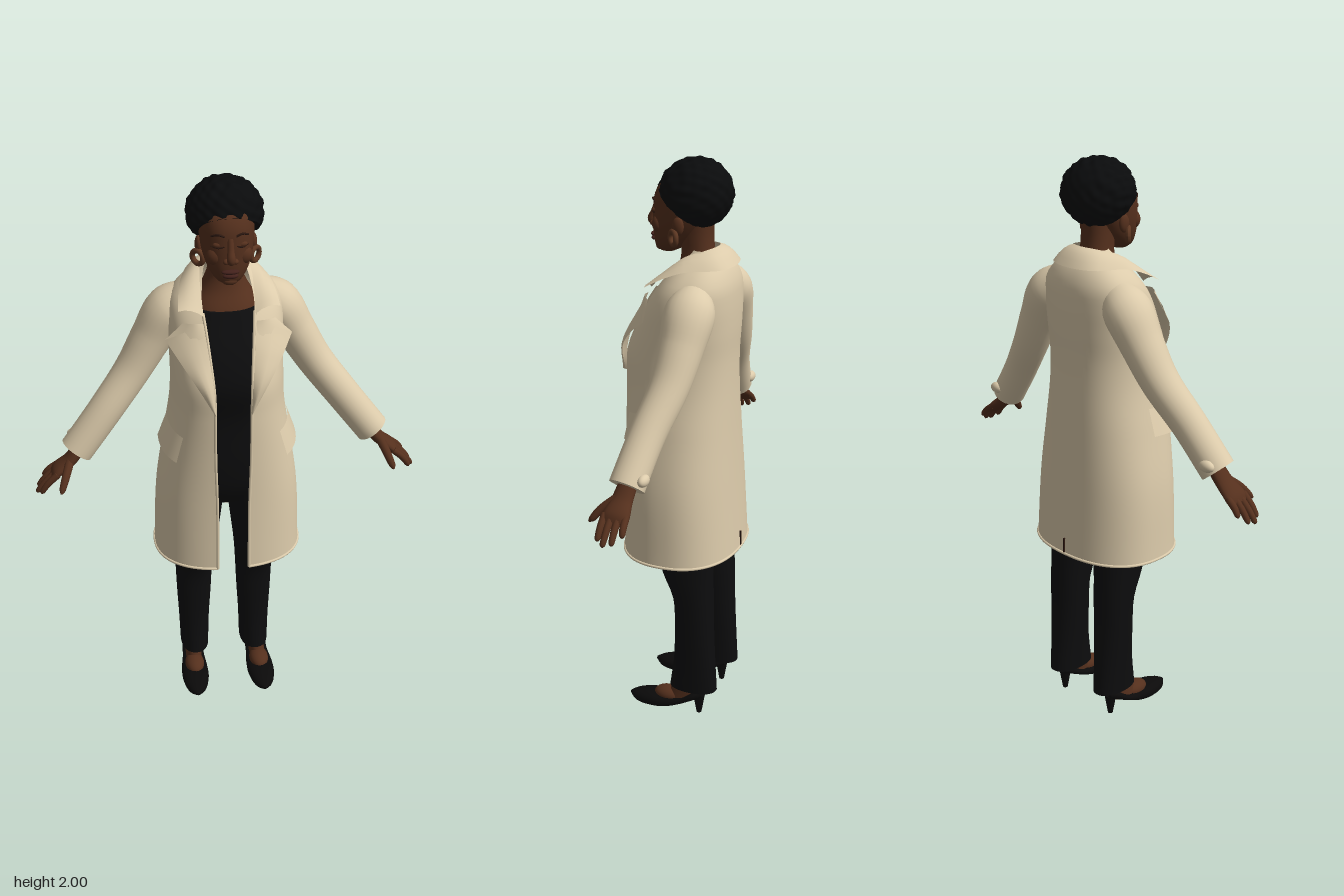
import * as THREE from 'three';

const mat = (name, color, side = THREE.FrontSide) => {
  const m = new THREE.MeshStandardMaterial({ color, side });
  m.name = name;
  return m;
};
const V = (x, y, z) => new THREE.Vector3(x, y, z);

// Skin a list of point rings; closed rings wrap round, caps are flat fans
function surface(rings, closed = true, caps = closed) {
  const n = rings[0].length, pos = [], idx = [];
  rings.forEach(r => r.forEach(p => pos.push(p.x, p.y, p.z)));
  for (let i = 0; i < rings.length - 1; i++) {
    for (let j = 0; j < (closed ? n : n - 1); j++) {
      const a = i * n + j, b = i * n + (j + 1) % n;
      idx.push(a, b, a + n, b, b + n, a + n);
    }
  }
  if (caps) [0, rings.length - 1].forEach((ri, k) => {
    const r = rings[ri], base = pos.length / 3;
    const c = r.reduce((s, p) => s.add(p), V(0, 0, 0)).divideScalar(n);
    [...r, c].forEach(p => pos.push(p.x, p.y, p.z));
    for (let j = 0; j < n; j++) {
      const a = base + j, b = base + (j + 1) % n;
      idx.push(base + n, k ? a : b, k ? b : a);
    }
  });
  const g = new THREE.BufferGeometry();
  g.setAttribute('position', new THREE.Float32BufferAttribute(pos, 3));
  g.setIndex(idx);
  g.computeVertexNormals();
  return g;
}

// Smooth interpolation through rows whose first number is the position
const sampler = rows => {
  const f = new THREE.CubicInterpolant(rows.map(r => r[0]), rows.flatMap(r => r.slice(1)), rows[0].length - 1);
  return s => [...f.evaluate(s)];
};
const pw = (v, p) => Math.sign(v) * Math.abs(v) ** p;
const oval = (w, front, back, t, p) => [w * pw(Math.sin(t), p), (front + back) / 2 + (front - back) / 2 * pw(Math.cos(t), p)];

// Closed loft through rows [position, half width, front, back, centre x]
function loft(rows, { p = 0.9, steps = 24, seg = 36, place = (u, v, s) => V(u, s, v) } = {}) {
  const at = sampler(rows), s0 = rows[0][0], s1 = rows.at(-1)[0];
  return surface(Array.from({ length: steps + 1 }, (_, i) => {
    const s = s0 + (s1 - s0) * i / steps, [w, f, b, cx = 0] = at(s);
    return Array.from({ length: seg }, (_, j) => {
      const [u, v] = oval(w, f, b, j / seg * Math.PI * 2, p);
      return place(u + cx, v, s);
    });
  }));
}

// Sweep along points [x, y, z, radius, depth radius]
function sweep(pts, steps = 20, seg = 18) {
  const path = new THREE.CatmullRomCurve3(pts.map(p => V(p[0], p[1], p[2])));
  const rad = sampler(pts.map((p, i) => [i / (pts.length - 1), p[3], p[4] ?? p[3]]));
  return surface(Array.from({ length: steps + 1 }, (_, i) => {
    const t = i / steps, c = path.getPoint(t), T = path.getTangent(t), [r1, r2] = rad(t);
    const N = V(0, 0, 1).cross(T).normalize(), B = T.clone().cross(N);
    return Array.from({ length: seg }, (_, j) => {
      const a = j / seg * Math.PI * 2;
      return c.clone().addScaledVector(N, r1 * Math.cos(a)).addScaledVector(B, r2 * Math.sin(a));
    });
  }));
}

// Ruled cloth strip between two curves, lifted in the middle
function strip(inner, outer, lift, steps = 28) {
  const [a, b] = [inner, outer].map(l => new THREE.CatmullRomCurve3(l.map(p => V(...p)), false, 'centripetal'));
  return surface([0, 0.25, 0.5, 0.75, 1].map(k => Array.from({ length: steps + 1 }, (_, i) =>
    a.getPoint(i / steps).lerp(b.getPoint(i / steps), k).add(V(0, lift[0], lift[1]).multiplyScalar(4 * k * (1 - k))))), false);
}

function ball(x, y, z, rx, ry, rz) {
  return new THREE.SphereGeometry(1, 24, 16).scale(rx, ry, rz).translate(x, y, z);
}

function mirrored(geo) {
  const g = geo.clone().scale(-1, 1, 1), ix = g.index.array;
  for (let i = 0; i < ix.length; i += 3) [ix[i], ix[i + 1]] = [ix[i + 1], ix[i]];
  g.computeVertexNormals();
  return g;
}

export function createModel() {
  const model = new THREE.Group();
  model.name = 'womanInCoat';
  const cream = mat('creamCoat', 0xdccbab, THREE.DoubleSide), skin = mat('brownSkin', 0x55301d);
  const black = mat('blackCloth', 0x0d0d0e), hairMat = mat('blackHair', 0x0a0b0c), shoeMat = mat('shoeLeather', 0x0b0a0a);
  const lipMat = mat('lipColour', 0x43211b), ringMat = mat('earringBronze', 0x5c3722), darkSkin = mat('eyelidShade', 0x2c1810);
  const add = (name, geo, m) => {
    const mesh = new THREE.Mesh(geo, m);
    mesh.name = name;
    model.add(mesh);
  };
  const pair = (name, geo, m) => {
    add(name + 'Left', geo, m);
    add(name + 'Right', mirrored(geo), m);
  };

  // Coat body: rows [height, half width, front, back, half opening]
  const coatAt = sampler([
    [0.64, 0.258, 0.205, -0.2, 0.055], [0.9, 0.245, 0.2, -0.185, 0.055], [1.1, 0.215, 0.2, -0.175, 0.06],
    [1.25, 0.192, 0.2, -0.17, 0.06], [1.35, 0.188, 0.195, -0.17, 0.062], [1.45, 0.19, 0.155, -0.175, 0.07],
    [1.55, 0.19, 0.105, -0.175, 0.08], [1.6, 0.178, 0.07, -0.17, 0.085], [1.65, 0.135, 0.03, -0.15, 0.08],
    [1.69, 0.085, -0.01, -0.12, 0.07], [1.71, 0.07, -0.03, -0.105, 0.06]]);
  const P = 0.85;
  const coatPoint = (y, t, out = 0) => {
    const [w, f, b] = coatAt(y), [x, z] = oval(w + out, f + out, b - out, t, P);
    return V(x, y, z);
  };
  const edgeAngle = y => {
    const [w, , , gap] = coatAt(y);
    return Math.asin(Math.min(1, (gap / w) ** (1 / P)));
  };
  const coatRing = (y, n = 64) => {
    const t0 = edgeAngle(y);
    return Array.from({ length: n + 1 }, (_, j) => coatPoint(y, t0 + (2 * Math.PI - 2 * t0) * j / n));
  };
  add('coatBody', surface(Array.from({ length: 55 }, (_, i) => coatRing(0.64 + 1.07 * i / 54)), false), cream);

  // Rolled coat edges and back vent
  const roll = (pts, n) => new THREE.TubeGeometry(new THREE.CatmullRomCurve3(pts), n, 0.005, 8);
  add('coatHem', roll(coatRing(0.642), 80), cream);
  pair('coatFrontEdge', roll(Array.from({ length: 24 }, (_, i) => {
    const y = 0.642 + 0.94 * i / 23;
    return coatPoint(y, edgeAngle(y));
  }), 60), cream);
  add('backVent', new THREE.BoxGeometry(0.006, 0.06, 0.008).translate(0, 0.67, -0.198), darkSkin);

  // Pocket flaps standing off the hips
  pair('pocketFlap', surface([0, 0.5, 1].map(k => Array.from({ length: 13 }, (_, j) =>
    coatPoint(1.07 + 0.09 * k + 0.02 * j / 12, 0.85 + 0.75 * j / 12, 0.02 - 0.017 * k))), false), cream);

  // Lapels and collar
  pair('lapel', strip(
    [[0.058, 1.27, 0.2], [0.064, 1.37, 0.192], [0.074, 1.46, 0.158], [0.086, 1.56, 0.105]],
    [[0.06, 1.27, 0.205], [0.115, 1.37, 0.19], [0.165, 1.44, 0.14], [0.208, 1.495, 0.075]], [0.004, 0.012]), cream);
  pair('lapelNotch', strip([[0.086, 1.56, 0.105], [0.074, 1.46, 0.158]], [[0.15, 1.555, 0.082], [0.208, 1.495, 0.075]], [0.004, 0.012]), cream);
  const bothSides = half => [...half.map(([x, y, z]) => [-x, y, z]), ...half.slice(0, -1).reverse()];
  add('collar', strip(
    bothSides([[0.084, 1.58, 0.095], [0.086, 1.64, 0.04], [0.083, 1.69, -0.02], [0.058, 1.712, -0.085], [0, 1.718, -0.11]]),
    bothSides([[0.165, 1.6, 0.088], [0.158, 1.63, 0.03], [0.142, 1.655, -0.04], [0.095, 1.66, -0.145], [0, 1.66, -0.172]]),
    [0.012, 0]), cream);

  // Sleeves
  pair('sleeve', sweep([[0.12, 1.575, -0.07, 0.06], [0.18, 1.53, -0.075, 0.078, 0.085], [0.24, 1.435, -0.07, 0.07, 0.075],
    [0.31, 1.32, -0.055, 0.062, 0.066], [0.41, 1.19, -0.02, 0.059, 0.06], [0.515, 1.055, 0.005, 0.058, 0.06]], 30, 24), cream);
  pair('cuffTab', ball(0.515, 1.085, -0.052, 0.03, 0.02, 0.018), cream);

  // Hands
  pair('palm', sweep([[0.49, 1.085, 0, 0.025, 0.03], [0.54, 1.02, 0.01, 0.022, 0.036], [0.585, 0.985, 0.012, 0.019, 0.046],
    [0.602, 0.965, 0.014, 0.012, 0.042]]), skin);
  [[0.635, 0.935, -0.028], [0.655, 0.912, 0], [0.66, 0.905, 0.028], [0.645, 0.915, 0.052]].forEach(([x, y, z], i) => {
    const bz = -0.022 + 0.024 * i;
    pair('finger' + (i + 1), sweep([[0.585, 0.985, bz, 0.012], [(x + 0.596) / 2, (y + 0.99) / 2, (z + bz) / 2, 0.0115],
      [x - 0.003, y + 0.007, z, 0.009], [x, y, z, 0.003]], 10, 10), skin);
  });
  pair('thumb', sweep([[0.54, 1.025, 0.025, 0.016], [0.56, 0.985, 0.075, 0.014], [0.573, 0.955, 0.1, 0.011], [0.577, 0.945, 0.11, 0.004]], 12, 10), skin);

  // Black top and trousers
  add('top', loft([[0.83, 0.1, 0.07, -0.12], [0.9, 0.165, 0.105, -0.145], [1, 0.175, 0.12, -0.15], [1.2, 0.152, 0.125, -0.14],
    [1.33, 0.152, 0.155, -0.14], [1.45, 0.148, 0.13, -0.14], [1.54, 0.13, 0.085, -0.13], [1.575, 0.112, 0.068, -0.115]], { p: 0.8 }), black);
  pair('trouserLeg', loft([[0.1, 0.052, 0.02, -0.155, 0.114], [0.22, 0.056, 0.004, -0.147, 0.114], [0.35, 0.063, 0, -0.14, 0.113],
    [0.47, 0.068, 0.006, -0.137, 0.112], [0.57, 0.074, 0.048, -0.135, 0.11], [0.75, 0.085, 0.08, -0.14, 0.1], [0.9, 0.086, 0.1, -0.14, 0.087]]), black);

  // Feet and heeled shoes
  pair('ankle', loft([[0.05, 0.03, 0.03, -0.075, 0.123], [0.09, 0.03, 0.015, -0.095, 0.12], [0.16, 0.03, -0.01, -0.1, 0.116]]), skin);
  pair('instep', ball(0.124, 0.055, 0.025, 0.036, 0.03, 0.055), skin);
  pair('shoe', loft([[-0.174, 0.006, 0.034, 0.024, 0.127], [-0.15, 0.028, 0.046, 0.008, 0.127], [-0.09, 0.048, 0.058, 0.003, 0.126],
    [-0.03, 0.049, 0.058, 0.01, 0.125], [0.03, 0.041, 0.064, 0.032, 0.123], [0.08, 0.037, 0.094, 0.056, 0.121], [0.108, 0.022, 0.1, 0.066, 0.12]],
    { place: (u, v, s) => V(u, v, -s) }), shoeMat);
  pair('heel', new THREE.CylinderGeometry(0.022, 0.009, 0.075, 14).translate(0.121, 0.0375, -0.092), shoeMat);

  // Neck, chest and head
  add('neck', loft([[1.53, 0.118, 0.078, -0.11], [1.58, 0.108, 0.058, -0.11], [1.63, 0.078, 0.03, -0.105], [1.68, 0.057, 0.018, -0.095],
    [1.74, 0.053, 0.022, -0.088], [1.82, 0.055, 0.03, -0.09]]), skin);
  add('head', loft([[1.688, 0.022, 0.092, 0.045], [1.7, 0.04, 0.105, 0.02], [1.73, 0.062, 0.112, -0.02], [1.78, 0.08, 0.114, -0.06],
    [1.83, 0.087, 0.113, -0.09], [1.88, 0.088, 0.107, -0.11], [1.92, 0.082, 0.085, -0.11], [1.96, 0.05, 0.04, -0.08]]), skin);
  add('noseBridge', sweep([[0, 1.85, 0.105, 0.01], [0, 1.815, 0.117, 0.011], [0, 1.785, 0.127, 0.014], [0, 1.772, 0.12, 0.008]], 14, 14), skin);
  pair('nostril', ball(0.014, 1.777, 0.116, 0.011, 0.009, 0.012), skin);
  add('upperLip', ball(0, 1.741, 0.113, 0.029, 0.008, 0.013), lipMat);
  add('lowerLip', ball(0, 1.727, 0.112, 0.025, 0.009, 0.013), lipMat);
  add('chin', ball(0, 1.703, 0.092, 0.026, 0.016, 0.018), skin);
  pair('cheek', ball(0.043, 1.785, 0.082, 0.03, 0.032, 0.024), skin);
  pair('eyelid', ball(0.037, 1.828, 0.097, 0.018, 0.01, 0.011), skin);
  const arc = (y, r, bow) => new THREE.TubeGeometry(new THREE.CatmullRomCurve3(
    [V(0.018, y, 0.109), V(0.037, y + bow, 0.107), V(0.058, y - 0.003, 0.089)]), 12, r, 6);
  pair('lashLine', arc(1.826, 0.003, -0.005), darkSkin);
  pair('eyebrow', arc(1.858, 0.0035, 0.007), darkSkin);
  pair('ear', ball(0.088, 1.79, 0.0, 0.012, 0.03, 0.02), skin);
  pair('earring', new THREE.TorusGeometry(0.022, 0.009, 10, 24).rotateY(0.8).translate(0.092, 1.752, 0.015), ringMat);

  // Short curly hair, cut along a slanted hairline
  const hair = new THREE.SphereGeometry(1, 72, 48), hp = hair.attributes.position;
  for (let i = 0; i < hp.count; i++) {
    const d = V(0, 0, 0).fromBufferAttribute(hp, i);
    const curl = 1 + 0.025 * Math.sin(17 * d.x + 3 * d.y) * Math.sin(19 * d.y) + 0.02 * Math.sin(18 * d.z + 5 * d.y) * Math.cos(14 * d.x);
    const z = -0.03 + 0.122 * d.z * curl;
    const line = 1.772 + Math.max(0, z + 0.07) * 0.85;
    hp.setXYZ(i, 0.124 * d.x * curl, Math.max(line, 1.884 + 0.114 * d.y * curl), z);
  }
  hair.computeVertexNormals();
  add('hair', hair, hairMat);

  return model;
}
